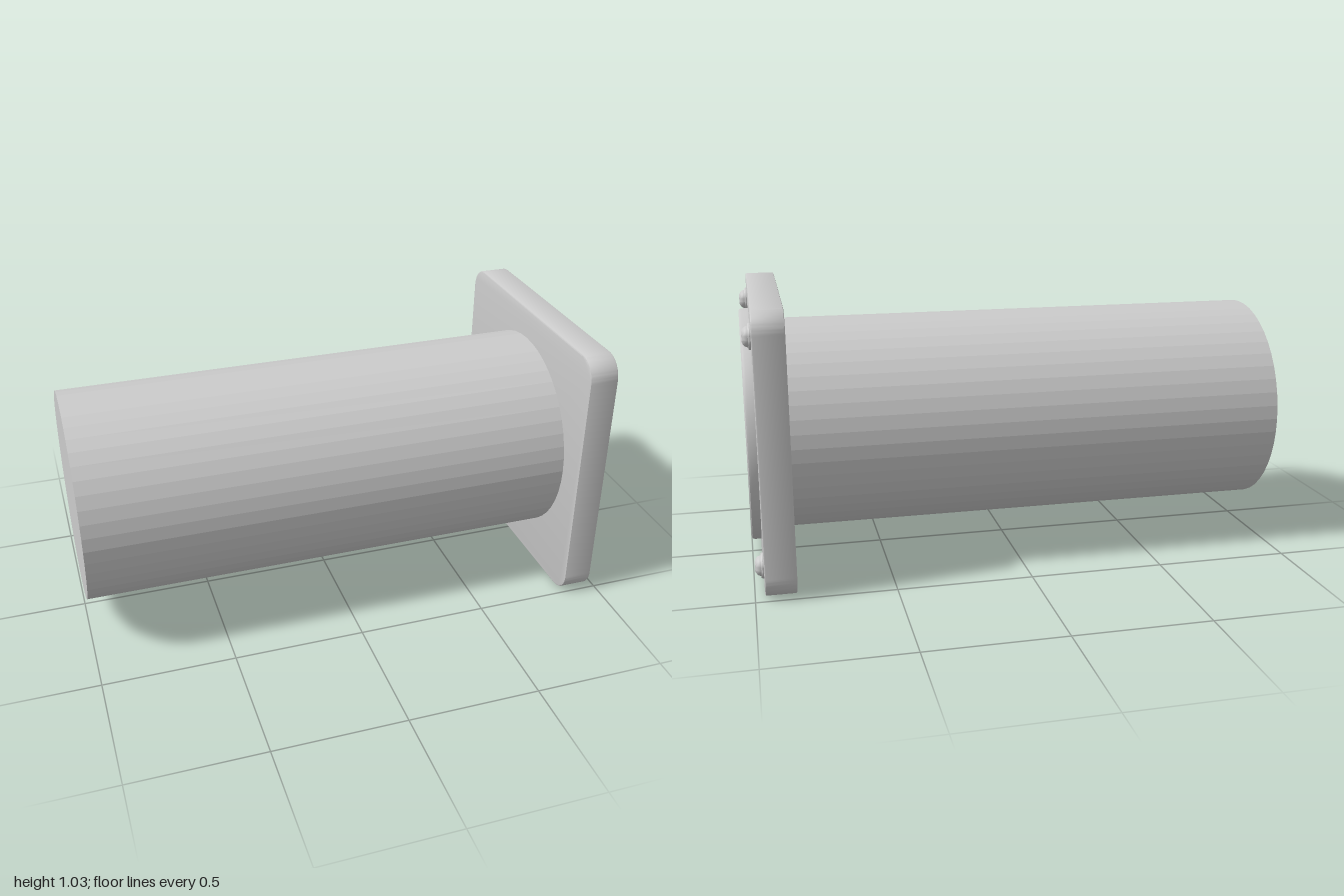
import * as THREE from 'three';
import { toCreasedNormals } from 'three/addons/utils/BufferGeometryUtils.js';

const MID = 0.515; // height of the main axis
const PLATE_BACK = 0.853, PLATE_FRONT = 0.965;

export function createModel() {
  const model = new THREE.Group();
  const smooth = new THREE.MeshStandardMaterial({ color: 0xcccccc });
  const faceted = new THREE.MeshStandardMaterial({ color: 0xcccccc, flatShading: true });

  const add = (parent, name, geometry, material = smooth) => {
    const mesh = new THREE.Mesh(geometry, material);
    mesh.name = name;
    parent.add(mesh);
    return mesh;
  };
  // Turned part whose profile is [radius, x], spun around the x axis
  const turned = (profile, segments) => toCreasedNormals(
    new THREE.LatheGeometry(profile.map(([r, x]) => new THREE.Vector2(r, x)), segments)
      .rotateZ(-Math.PI / 2), 0.5);

  // Long faceted barrel, closed at the far end
  const barrelLength = PLATE_BACK + 1.01;
  const barrel = add(model, 'barrel',
    new THREE.CylinderGeometry(0.397, 0.397, barrelLength, 48).rotateZ(-Math.PI / 2), faceted);
  barrel.position.set(-1 + barrelLength / 2, MID, 0);

  // Square mounting plate with rounded corners and softened edges
  const bevel = 0.006, h = 0.515 - bevel, r = 0.08;
  const outline = new THREE.Shape();
  outline.moveTo(h, r - h);
  outline.absarc(h - r, h - r, r, 0, Math.PI / 2);
  outline.absarc(r - h, h - r, r, Math.PI / 2, Math.PI);
  outline.absarc(r - h, r - h, r, Math.PI, Math.PI * 1.5);
  outline.absarc(h - r, r - h, r, Math.PI * 1.5, Math.PI * 2);
  const plateGeometry = new THREE.ExtrudeGeometry(outline, {
    depth: PLATE_FRONT - PLATE_BACK - 2 * bevel, bevelSize: bevel,
    bevelThickness: bevel, bevelSegments: 2, curveSegments: 10,
  }).translate(0, 0, bevel).rotateY(Math.PI / 2);
  const plate = add(model, 'mountingPlate', toCreasedNormals(plateGeometry, 0.5));
  plate.position.set(PLATE_BACK, MID, 0);

  // Raised ring with a sloping inner wall
  const ring = add(model, 'frontRing', turned([
    [0.437, 0.96], [0.437, 0.988], [0.435, 0.996], [0.430, 1.0],
    [0.425, 0.998], [0.421, 0.992], [0.395, 0.968], [0.391, 0.968], [0.391, 0.96],
  ], 64));
  ring.position.y = MID;

  // Domed screws, each on a small collar, with a cross recess in the head
  const a = 0.014, b = 0.003;
  const cross = [[a, b], [b, b], [b, a], [-b, a], [-b, b], [-a, b],
    [-a, -b], [-b, -b], [-b, -a], [b, -a], [b, -b], [a, -b]];
  const tip = new THREE.Shape().absarc(0, 0, 0.018, 0, Math.PI * 2);
  tip.holes.push(new THREE.Path(cross.map(([x, y]) => new THREE.Vector2(x, y))));
  const tipGeometry = new THREE.ExtrudeGeometry(tip, { depth: 0.012, bevelEnabled: false, curveSegments: 12 })
    .rotateY(Math.PI / 2);
  const collarGeometry = turned([[0.046, -0.004], [0.046, 0.004], [0.043, 0.009], [0.038, 0.009], [0.036, 0.003]], 32);
  const headGeometry = turned([[0.037, 0], [0.037, 0.010], [0.034, 0.018],
    [0.029, 0.024], [0.023, 0.028], [0.018, 0.030], [0.018, 0.020], [0, 0.020]], 32);

  for (const y of [-1, 1]) for (const z of [-1, 1]) {
    const screw = new THREE.Group();
    screw.name = `screw${y > 0 ? 'Upper' : 'Lower'}${z > 0 ? 'Front' : 'Back'}`;
    screw.position.set(PLATE_FRONT, MID + y * 0.413, z * 0.413);
    add(screw, 'screwCollar', collarGeometry);
    add(screw, 'screwHead', headGeometry);
    add(screw, 'screwRecess', tipGeometry).position.x = 0.018;
    model.add(screw);
  }
  return model;
}
